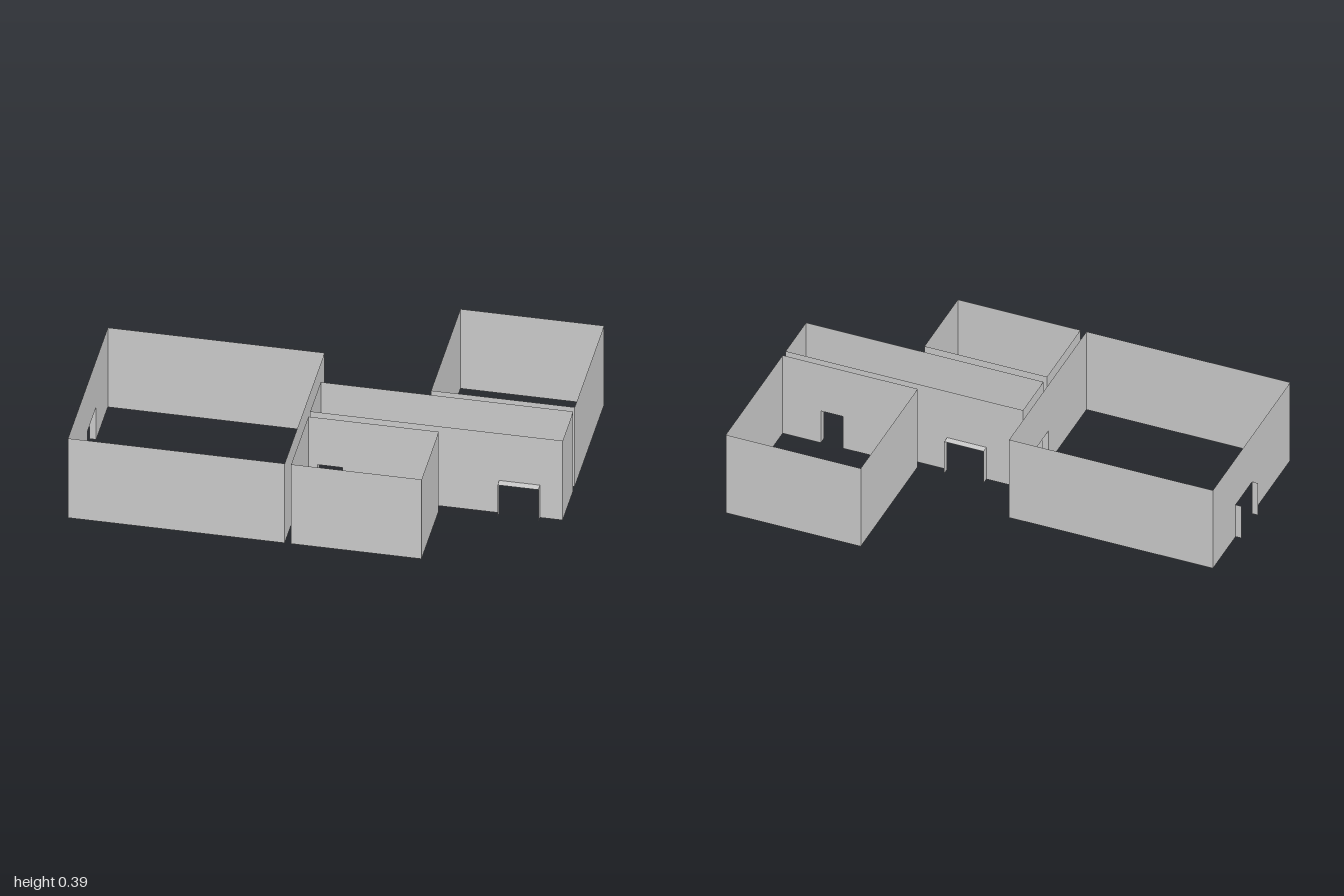
import * as THREE from 'three';

const WALL_H = 0.392, DOOR_H = 0.16;
const material = new THREE.MeshStandardMaterial({
  color: 0xcccccc, side: THREE.DoubleSide, flatShading: true,
});

// Upright panel running from a to b, notched at the bottom for each [start, end] door.
// axis 'x': runs along x at z = at; axis 'z': runs along z at x = at.
function wall(name, axis, at, a, b, doors = []) {
  const shape = new THREE.Shape().moveTo(a, 0);
  for (const [s, e] of doors) {
    shape.lineTo(s, 0).lineTo(s, DOOR_H).lineTo(e, DOOR_H).lineTo(e, 0);
  }
  shape.lineTo(b, 0).lineTo(b, WALL_H).lineTo(a, WALL_H).closePath();
  const geometry = new THREE.ShapeGeometry(shape);
  if (axis === 'z') geometry.rotateY(-Math.PI / 2).translate(at, 0, 0);
  else geometry.translate(0, 0, at);
  const mesh = new THREE.Mesh(geometry, material);
  mesh.name = name;
  return mesh;
}

// Four walls without floor or ceiling
function room(name, [x0, x1], [z0, z1], doors = {}) {
  const group = new THREE.Group();
  group.name = name;
  group.add(
    wall('frontWall', 'x', z1, x0, x1, doors.front),
    wall('backWall', 'x', z0, x0, x1, doors.back),
    wall('leftWall', 'z', x1, z0, z1, doors.left),
    wall('rightWall', 'z', x0, z0, z1, doors.right),
  );
  return group;
}

// Thin lining of a doorway: two jambs and, usually, a lintel.
// The opening spans [a, b] along axis; the lining spans [d0, d1] across it.
function doorway(name, axis, [a, b], [d0, d1], lintel = true) {
  const group = new THREE.Group();
  group.name = name;
  const depth = d1 - d0, mid = (d0 + d1) / 2;
  const add = (part, geometry) => {
    if (axis === 'z') geometry.rotateY(-Math.PI / 2);
    const mesh = new THREE.Mesh(geometry, material);
    mesh.name = part;
    group.add(mesh);
  };
  // rotating by -90 degrees sends depth to -x, so the offset is flipped for z
  const offset = axis === 'z' ? -mid : mid;
  for (const s of [a, b]) {
    add('jamb', new THREE.PlaneGeometry(depth, DOOR_H)
      .rotateY(Math.PI / 2).translate(s, DOOR_H / 2, offset));
  }
  if (lintel) {
    add('lintel', new THREE.PlaneGeometry(b - a, depth)
      .rotateX(-Math.PI / 2).translate((a + b) / 2, DOOR_H, offset));
  }
  return group;
}

export function createModel() {
  const model = new THREE.Group();
  model.name = 'floorPlan';

  // Door spans along their walls
  const sideDoor = [0.042, 0.214];
  const frontRoomDoor = [-0.01, 0.093];
  const backRoomDoor = [0.732, 0.83];
  const frontExit = [0.735, 0.904];
  const backExit = [0.113, 0.286];

  // Rooms
  model.add(
    room('hall', [-0.973, -0.075], [-0.195, 0.612], { left: [sideDoor], right: [sideDoor] }),
    room('corridor', [-0.048, 0.998], [0.013, 0.226], {
      front: [frontRoomDoor, frontExit],
      back: [backExit, backRoomDoor],
      right: [sideDoor],
    }),
    room('frontRoom', [-0.048, 0.492], [0.264, 0.612], { back: [frontRoomDoor] }),
    room('backRoom', [0.403, 0.998], [-0.612, -0.018], { front: [backRoomDoor] }),
  );

  // Linings between the rooms and at the exits
  model.add(
    doorway('hallExit', 'z', sideDoor, [-1, -0.973], false),
    doorway('hallToCorridor', 'z', sideDoor, [-0.075, -0.048]),
    doorway('frontRoomDoorway', 'x', frontRoomDoor, [0.226, 0.26]),
    doorway('frontExitDoorway', 'x', frontExit, [0.226, 0.26]),
    doorway('backRoomDoorway', 'x', backRoomDoor, [-0.018, 0.013]),
    doorway('backExitDoorway', 'x', backExit, [-0.018, 0.013]),
  );
  return model;
}
